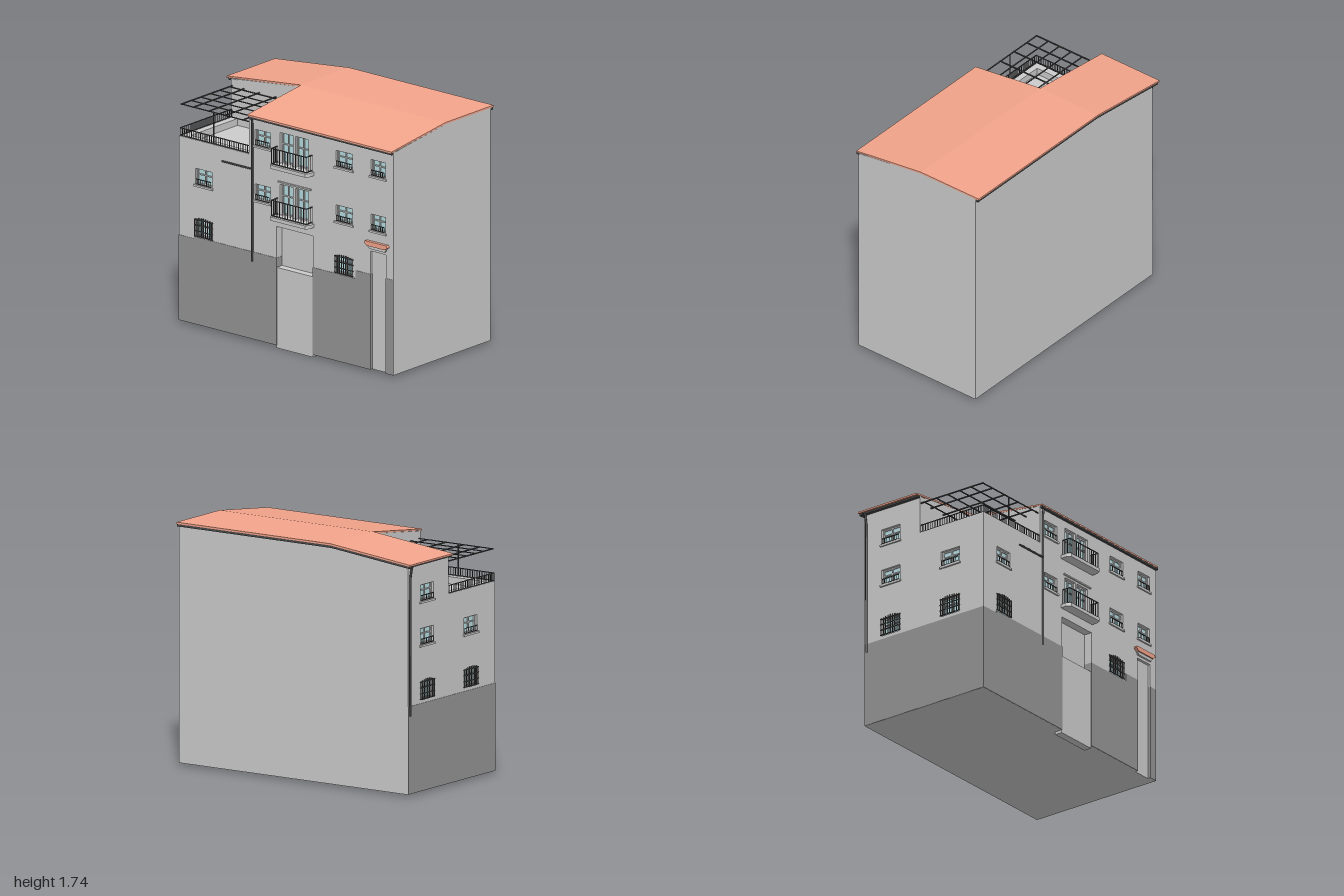
import * as THREE from 'three';

const mat = (color) => new THREE.MeshStandardMaterial({ color });
const grey = mat(0xcccccc);
const plinthMat = mat(0x959595);
const tile = mat(0xf4a58c);
const glassMat = mat(0xb7dde3);
const iron = mat(0x484848);

function add(parent, name, geo, material = grey) {
  const m = new THREE.Mesh(geo, material);
  m.name = name;
  parent.add(m);
  return m;
}

// Box given by its low and high corners
function box(parent, name, x0, x1, y0, y1, z0, z1, material = grey) {
  const m = add(parent, name, new THREE.BoxGeometry(x1 - x0, y1 - y0, z1 - z0), material);
  m.position.set((x0 + x1) / 2, (y0 + y1) / 2, (z0 + z1) / 2);
  return m;
}

const shapeOf = (pts) => new THREE.Shape(pts.map(([x, y]) => new THREE.Vector2(x, y)));

// Outline in x,y extruded from z0 to z1
function prismZ(pts, z0, z1, holes = []) {
  const s = shapeOf(pts);
  for (const [x, y, w, h] of holes) {
    s.holes.push(new THREE.Path([[x, y], [x, y + h], [x + w, y + h], [x + w, y]].map((p) => new THREE.Vector2(...p))));
  }
  return new THREE.ExtrudeGeometry(s, { depth: z1 - z0, bevelEnabled: false }).translate(0, 0, z0);
}

// Outline in z,y extruded from x0 to x1
const prismX = (pts, x0, x1) => prismZ(pts.map(([z, y]) => [-z, y]), x0, x1).rotateY(Math.PI / 2);

// Outline in x,z extruded from y0 to y1
const prismY = (pts, y0, y1) => prismZ(pts.map(([x, z]) => [x, -z]), y0, y1).rotateX(-Math.PI / 2);

// Railing from a to b (x,z pairs): rails and evenly spaced balusters
function railing(parent, name, a, b, y0, y1, n, t = 0.006) {
  const g = new THREE.Group();
  g.name = name;
  const len = Math.hypot(b[0] - a[0], b[1] - a[1]);
  g.position.set(a[0], 0, a[1]);
  g.rotation.y = -Math.atan2(b[1] - a[1], b[0] - a[0]);
  box(g, 'topRail', 0, len, y1 - t, y1, -t / 2, t / 2, iron);
  box(g, 'bottomRail', 0, len, y0, y0 + t, -t / 2, t / 2, iron);
  for (let i = 0; i <= n; i++) {
    const x = (len * i) / n;
    box(g, 'baluster', x - t / 3, x + t / 3, y0, y1, -t / 3, t / 3, iron);
  }
  parent.add(g);
}

// Recessed casement: glass, frame, mullion and crossbars, set in the plane z = 0
function casement(parent, [x, y, w, h], name = 'window') {
  const g = new THREE.Group();
  g.name = name;
  g.position.set(x, y, 0);
  const f = 0.009, zb = -0.034, zf = -0.018;
  box(g, 'glass', 0, w, 0, h, -0.04, -0.028, glassMat);
  for (const c of [f / 2, w / 2, w - f / 2]) box(g, 'stile', c - f / 2, c + f / 2, 0, h, zb, zf);
  for (const c of [f / 2, h * 0.62, h - f / 2]) box(g, 'crossbar', 0, w, c - f / 2, c + f / 2, zb, zf - 0.002);
  parent.add(g);
  return g;
}

function smallWindow(parent, hole) {
  const g = casement(parent, hole);
  const [, , w] = hole;
  box(g, 'sill', -0.01, w + 0.01, -0.014, 0, -0.03, 0.012);
  railing(g, 'windowGuard', [0.006, 0.004], [w - 0.006, 0.004], 0.004, 0.045, 7, 0.005);
}

function barredWindow(parent, hole) {
  const g = casement(parent, hole, 'barredWindow');
  const [, , w, h] = hole;
  for (let i = 0; i <= 8; i++) {
    const x = (w * i) / 8, top = h + 0.014 * Math.sin((Math.PI * i) / 8);
    box(g, 'bar', x - 0.003, x + 0.003, 0, top, 0.004, 0.01, iron);
  }
  for (const y of [0.004, h * 0.33, h * 0.66, h - 0.004]) box(g, 'crossbar', -0.008, w + 0.008, y - 0.003, y + 0.003, 0.003, 0.009, iron);
}

function balcony(parent, y) {
  const g = new THREE.Group();
  g.name = 'balcony';
  g.position.y = y;
  add(g, 'slab', prismY([[-0.08, 0], [-0.08, 0.05], [-0.062, 0.078], [0.258, 0.078], [0.276, 0.05], [0.276, 0]], 0, 0.026));
  railing(g, 'frontRailing', [-0.06, 0.064], [0.258, 0.064], 0.03, 0.148, 13);
  for (const x of [-0.06, 0.258]) railing(g, 'sideRailing', [x, 0], [x, 0.064], 0.03, 0.148, 3);
  parent.add(g);
}

function pipe(parent, name, pts, r = 0.008) {
  const path = new THREE.CurvePath();
  const v = pts.map((p) => new THREE.Vector3(...p));
  for (let i = 1; i < v.length; i++) path.add(new THREE.LineCurve3(v[i - 1], v[i]));
  add(parent, name, new THREE.TubeGeometry(path, 24, r, 8), iron);
}

export function createModel() {
  const house = new THREE.Group();
  house.name = 'house';

  // Solid cores behind the window walls, leaving the terrace notch open
  add(house, 'mainWing', prismX([[0.44, 0.02], [0.44, 1.66], [-0.06, 1.724], [-0.55, 1.724], [-0.55, 0.02]], -0.32, 1));
  add(house, 'rearWing', prismZ([[-0.9, 0.02], [-0.32, 0.02], [-0.32, 1.724], [-0.9, 1.658]], -0.55, -0.06));
  box(house, 'terraceBlock', -0.9, -0.32, 0.02, 1.32, -0.06, 0.44);

  // Front wall, drawn in its own plane
  const front = new THREE.Group();
  front.name = 'frontWall';
  front.position.z = 0.5;
  house.add(front);
  const small = [];
  for (const [x, w] of [[-0.265, 0.14], [0.475, 0.15], [0.795, 0.132]]) for (const y of [1.045, 1.445]) small.push([x, y, w, 0.117]);
  small.push([-0.81, 1.045, 0.15, 0.117]);
  const barred = [[-0.81, 0.665, 0.155, 0.13], [0.473, 0.665, 0.155, 0.13]];
  const doors = [];
  for (const y of [0.982, 1.362]) for (const x of [-0.035, 0.105]) doors.push([x, y, 0.118, 0.224]);
  add(front, 'wall', prismZ([
    [-0.96, 0.02], [-0.07, 0.02], [-0.07, 0.89], [0.265, 0.89], [0.265, 0.02], [0.79, 0.02], [0.79, 0.89], [0.935, 0.89],
    [0.935, 0.02], [1, 0.02], [1, 1.655], [-0.32, 1.655], [-0.32, 1.37], [-0.96, 1.37],
  ], -0.06, 0, [...small, ...barred, ...doors]));
  small.forEach((h) => smallWindow(front, h));
  barred.forEach((h) => barredWindow(front, h));
  doors.forEach((h) => casement(front, h, 'balconyDoor'));
  balcony(front, 0.955);
  balcony(front, 1.335);
  box(front, 'doorCornice', -0.05, 0.25, 1.22, 1.23, -0.01, 0.012);

  // Entrances: low block in the wide opening, door leaf in the narrow one
  box(front, 'entranceBlock', -0.069, 0.264, 0, 0.59, -0.06, -0.002);
  box(front, 'sideDoor', 0.79, 0.935, 0.02, 0.89, -0.06, -0.02);
  add(front, 'canopyRoof', prismZ([[0.75, 0.95], [0.775, 0.932], [0.94, 0.932], [0.965, 0.95], [0.955, 0.966], [0.76, 0.966]], 0, 0.024), tile);
  add(front, 'canopyBase', prismZ([[0.79, 0.91], [0.93, 0.91], [0.945, 0.932], [0.77, 0.932]], 0, 0.014));

  // Left wall: its local x runs along the depth of the house
  const left = new THREE.Group();
  left.name = 'leftWall';
  left.position.x = -0.96;
  left.rotation.y = -Math.PI / 2;
  house.add(left);
  const sideSmall = [[-0.4, 1.37, 0.16, 0.117], [-0.4, 1.06, 0.16, 0.117], [0.125, 1.05, 0.16, 0.117]];
  const sideBarred = [[-0.4, 0.67, 0.16, 0.13], [0.125, 0.67, 0.16, 0.13]];
  add(left, 'wall', prismZ([[-0.55, 0.02], [0.44, 0.02], [0.44, 1.37], [-0.06, 1.37], [-0.06, 1.652], [-0.55, 1.652]],
    -0.06, 0, [...sideSmall, ...sideBarred]));
  sideSmall.forEach((h) => smallWindow(left, h));
  sideBarred.forEach((h) => barredWindow(left, h));

  // Dark plinth
  for (const [x0, x1, top] of [[-0.962, -0.82, 0.645], [-0.82, -0.068, 0.66], [0.263, 0.655, 0.66], [0.655, 0.792, 0.72], [0.933, 0.999, 0.72]]) {
    box(front, 'plinth', x0, x1, 0.021, top, -0.058, 0.003, plinthMat);
  }
  box(left, 'plinth', -0.549, 0.503, 0.021, 0.645, -0.02, 0.003, plinthMat);

  // Roof planes and gutters
  add(house, 'mainRoof', prismX([[0.52, 1.652], [0.52, 1.663], [-0.06, 1.737], [-0.58, 1.737], [-0.58, 1.724], [-0.06, 1.724]], -0.32, 1), tile);
  add(house, 'rearRoof', prismZ([[-1, 1.65], [-0.32, 1.724], [-0.32, 1.737], [-1, 1.662]], -0.58, -0.06), tile);
  box(house, 'frontGutter', -0.315, 1, 1.638, 1.652, 0.49, 0.518, iron);
  add(house, 'rearGutter', prismZ([[-0.99, 1.633], [-0.32, 1.706], [1, 1.706], [1, 1.724], [-0.32, 1.724], [-0.99, 1.651]], -0.574, -0.55), iron);
  box(house, 'sideGutter', -0.985, -0.955, 1.638, 1.651, -0.57, -0.06, iron);

  // Terrace railings
  railing(house, 'terraceFrontRailing', [-0.955, 0.493], [-0.3, 0.493], 1.37, 1.43, 32);
  railing(house, 'terraceSideRailing', [-0.955, -0.06], [-0.955, 0.493], 1.37, 1.43, 26);

  // Pergola grid on a slim post
  const pergola = new THREE.Group();
  pergola.name = 'pergola';
  house.add(pergola);
  for (const x of [-0.95, -0.84, -0.7, -0.55, -0.39]) box(pergola, 'beam', x - 0.004, x + 0.004, 1.596, 1.604, -0.06, 0.49, iron);
  for (const z of [-0.03, 0.075, 0.175, 0.28, 0.38, 0.485]) box(pergola, 'crossBeam', -0.955, -0.32, 1.597, 1.603, z - 0.004, z + 0.004, iron);
  box(pergola, 'post', -0.658, -0.652, 1.36, 1.6, 0.482, 0.488, iron);

  // Downpipes
  pipe(house, 'frontDownpipe', [[-0.288, 1.645, 0.51], [-0.288, 1.6, 0.503], [-0.288, 0.59, 0.503]]);
  pipe(house, 'branchPipe', [[-0.565, 1.266, 0.503], [-0.288, 1.266, 0.503]], 0.007);
  pipe(house, 'rearDownpipe', [[-0.985, 1.645, -0.53], [-0.968, 1.57, -0.53], [-0.966, 0.575, -0.53]]);

  return house;
}
